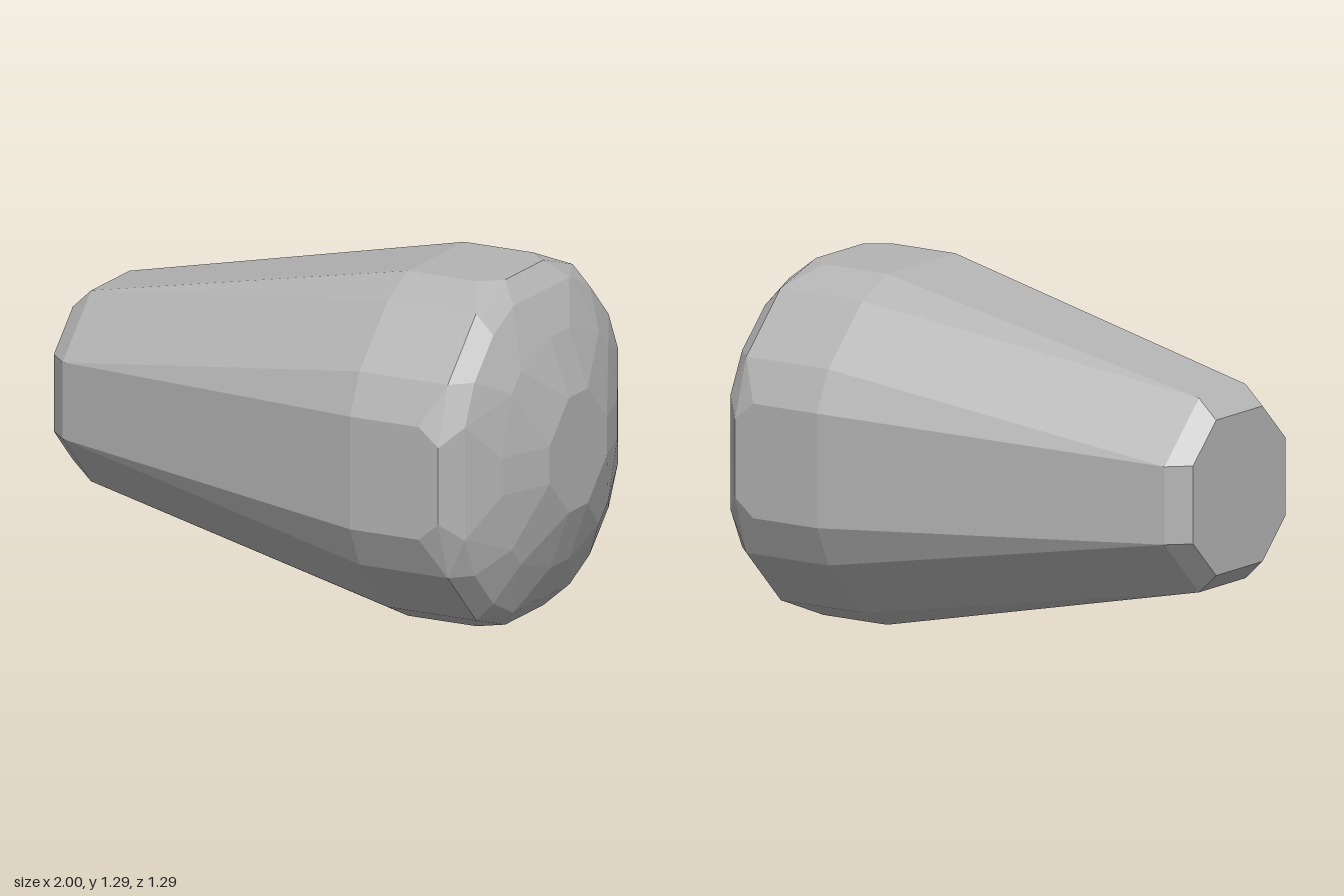
import * as THREE from 'three';
import { ConvexGeometry } from 'three/addons/geometries/ConvexGeometry.js';

const CENTRE_Y = 0.643;

// Cross-section at x: each [a, b] corner is mirrored into all eight octants.
function ring(x, corners, dz = 0) {
  const points = [];
  for (const [a, b] of corners) {
    for (const [u, v] of [[a, b], [b, a]]) {
      for (const su of [-1, 1]) {
        for (const sv of [-1, 1]) {
          points.push(new THREE.Vector3(x, CENTRE_Y + su * u, sv * v + dz));
        }
      }
    }
  }
  return points;
}

export function createModel() {
  const group = new THREE.Group();
  group.name = 'taperedPlug';

  const grey = new THREE.MeshStandardMaterial({ color: 0xb4b4b4 });
  grey.name = 'plain grey';

  const wide = [[0.21, 0.643], [0.36, 0.572]];
  const points = [
    // narrow end, an octagon with a bevelled rim, slightly off axis
    ...ring(-1, [[0.143, 0.285]], -0.03),
    ...ring(-0.925, [[0.143, 0.356]], -0.03),
    // straight-sided wide band
    ...ring(0.42, wide),
    ...ring(0.7, wide),
    // bevelled shoulder
    ...ring(0.78, [[0.143, 0.643], [0.36, 0.572]]),
    ...ring(0.85, [[0.21, 0.572], [0.36, 0.5]]),
    // domed wide end
    ...ring(0.925, [[0.07, 0.43], [0.29, 0.36]]),
    ...ring(1, [[0.07, 0.214]]),
  ];

  const body = new THREE.Mesh(new ConvexGeometry(points), grey);
  body.name = 'body';
  group.add(body);
  return group;
}
